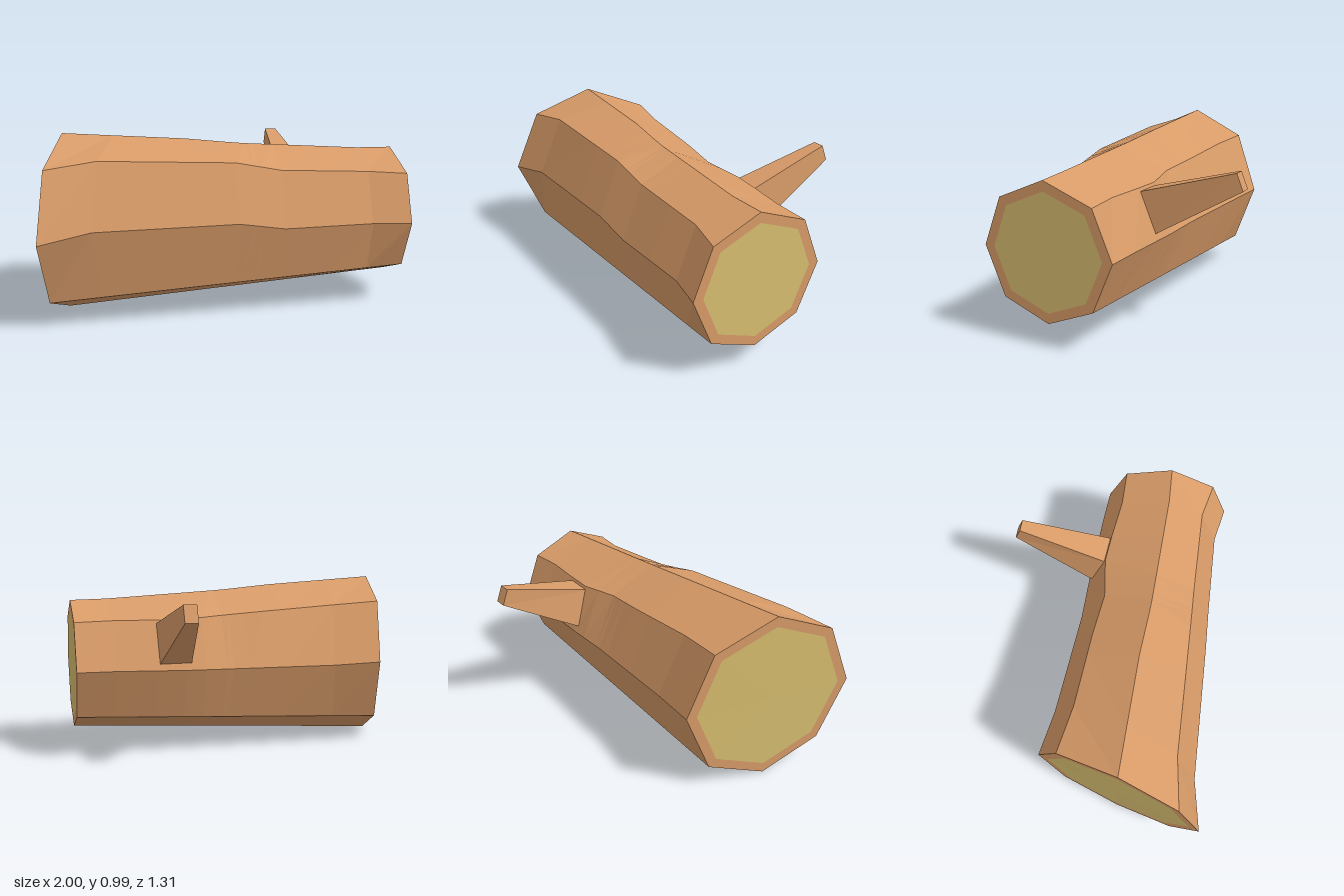
import * as THREE from 'three';

const bark = new THREE.MeshStandardMaterial({ color: 0xd89b68, flatShading: true });
const wood = new THREE.MeshStandardMaterial({ color: 0xd6bd6f, flatShading: true });

// Eight lengthwise ridges of the log as [x, y, z], from the top round by the front
const ridges = [
  [[-0.87, 0.99, 0.18], [-0.2, 0.945, 0.18], [0.1, 0.915, 0.195], [0.79, 0.872, 0.195], [1, 0.868, 0.18]],
  [[-0.96, 0.85, 0.51], [-0.69, 0.88, 0.46], [0.04, 0.845, 0.428], [0.29, 0.795, 0.418], [0.79, 0.77, 0.4], [1, 0.76, 0.44]],
  [[-1, 0.5, 0.655], [-0.73, 0.54, 0.59], [0.04, 0.54, 0.55], [0.29, 0.5, 0.537], [0.79, 0.5, 0.51], [1, 0.5, 0.545]],
  [[-0.96, 0.147, 0.51], [1, 0.235, 0.44]],
  [[-0.87, 0, 0.18], [1, 0.13, 0.18]],
  [[-0.78, 0.147, -0.155], [1, 0.235, -0.08]],
  [[-0.74, 0.5, -0.295], [-0.47, 0.487, -0.255], [0.13, 0.487, -0.215], [0.4, 0.49, -0.215], [0.79, 0.5, -0.205], [1, 0.5, -0.195]],
  [[-0.78, 0.85, -0.16], [-0.51, 0.83, -0.12], [-0.08, 0.8, -0.1], [0.17, 0.78, -0.077], [0.4, 0.765, -0.115], [0.56, 0.765, -0.105], [0.79, 0.765, -0.083], [1, 0.76, -0.09]],
];
const stations = [-0.2, -0.08, 0.04, 0.13, 0.17, 0.29, 0.4, 0.56, 0.79, 1];

// Point on a ridge at a given x
function pointAt(ridge, x) {
  let i = 0;
  while (i < ridge.length - 2 && x > ridge[i + 1][0]) i++;
  const a = new THREE.Vector3(...ridge[i]);
  const b = new THREE.Vector3(...ridge[i + 1]);
  return a.clone().lerp(b, (x - a.x) / (b.x - a.x));
}

// Mesh made from a list of triangles
function facets(name, triangles, material) {
  const geometry = new THREE.BufferGeometry().setFromPoints(triangles.flat());
  geometry.computeVertexNormals();
  const mesh = new THREE.Mesh(geometry, material);
  mesh.name = name;
  return mesh;
}

// Band of faces joining two rings of points
function band(ringA, ringB) {
  const tris = [];
  const n = ringA.length;
  for (let k = 0; k < n; k++) {
    const j = (k + 1) % n;
    tris.push([ringA[k], ringA[j], ringB[k]], [ringB[k], ringA[j], ringB[j]]);
  }
  return tris;
}

// Fan that fills a ring from its middle
function fan(ring, centre) {
  return ring.map((p, k) => [centre, p, ring[(k + 1) % ring.length]]);
}

// Cut end: a bark rim round a pale wood face
function cutEnd(name, ring, inset, flip) {
  const centre = new THREE.Vector3();
  ring.forEach((p) => centre.addScaledVector(p, 1 / ring.length));
  const inner = ring.map((p) => centre.clone().lerp(p, inset));
  const face = (tris) => (flip ? tris.map((t) => [t[0], t[2], t[1]]) : tris);
  const end = new THREE.Group();
  end.name = name;
  end.add(facets(name + 'Rim', face(band(ring, inner)), bark));
  end.add(facets(name + 'Wood', face(fan(inner, centre)), wood));
  return end;
}

export function createModel() {
  const model = new THREE.Group();
  model.name = 'log';

  // Trunk, with its wide end cut at a slant
  const rings = [
    ridges.map((r) => new THREE.Vector3(...r[0])),
    ridges.map((r) => pointAt(r, r[0][0] + 0.27)),
    ...stations.map((x) => ridges.map((r) => pointAt(r, x))),
  ];
  const sides = [];
  for (let i = 0; i < rings.length - 1; i++) sides.push(...band(rings[i], rings[i + 1]));
  model.add(facets('trunk', sides, bark));
  model.add(cutEnd('wideEnd', rings[0], 0.88, true));
  model.add(cutEnd('narrowEnd', rings[rings.length - 1], 0.85, false));

  // Tapered branch stub at the back, rooted a little inside the trunk
  const corner = (x, y, z) => new THREE.Vector3(x, y, z);
  const base = [corner(0.395, 0.745, -0.11), corner(0.555, 0.745, -0.105), corner(0.55, 0.535, -0.21), corner(0.375, 0.535, -0.21)];
  const tip = [corner(0.44, 0.88, -0.62), corner(0.51, 0.88, -0.62), corner(0.51, 0.79, -0.655), corner(0.44, 0.79, -0.655)];
  const root = base.map((p, k) => p.clone().lerp(tip[k], -0.08));
  const tipCentre = tip[0].clone().lerp(tip[2], 0.5);
  model.add(facets('branch', [...band(root, tip), ...fan(tip, tipCentre)], bark));

  return model;
}
